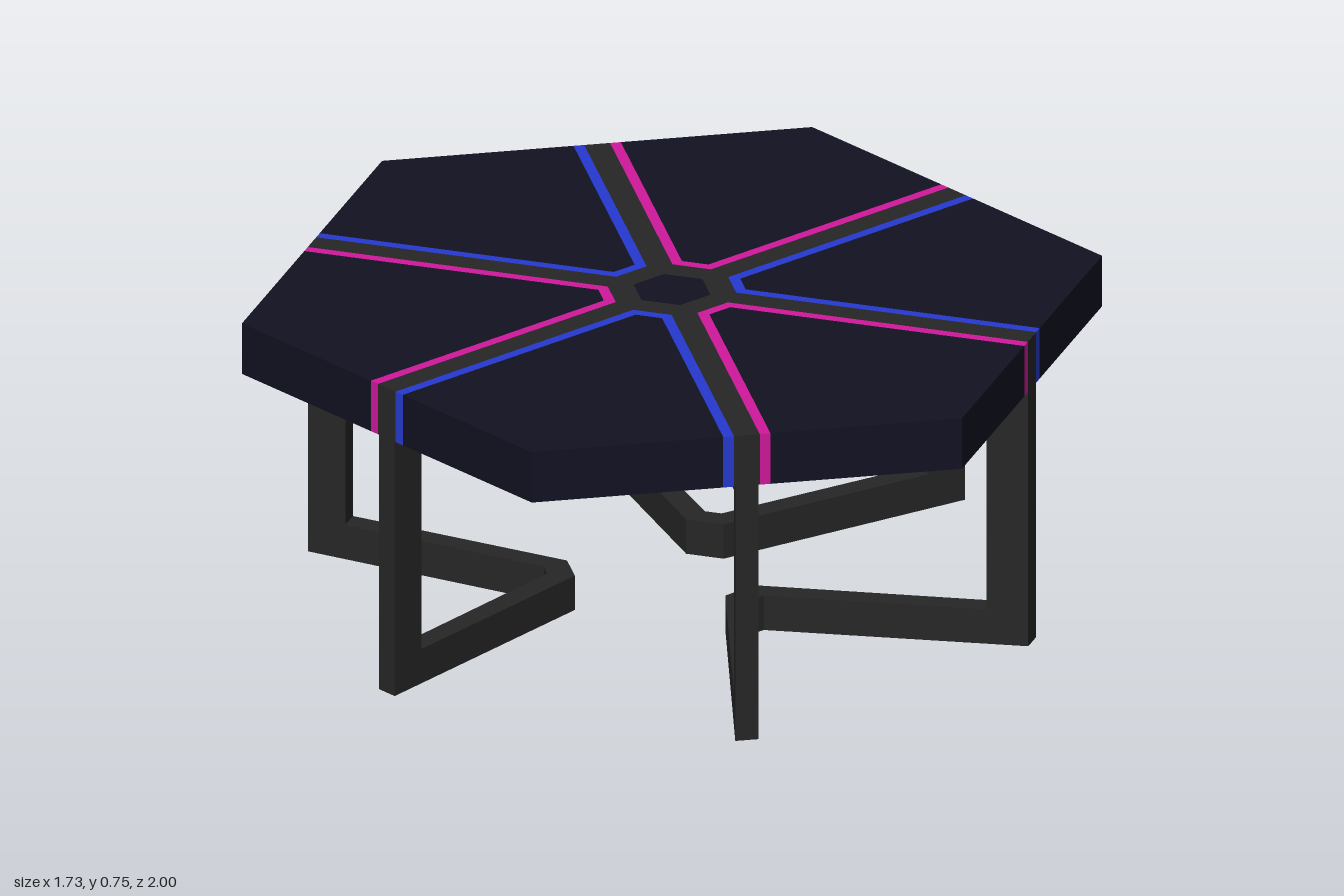
import * as THREE from 'three';

const APOTHEM = Math.sqrt(3) / 2; // table top radius to the edge midpoints
const TOP_Y = 0.755, UNDER_Y = 0.63, BASE_H = 0.085, BEAM_Y = 0.615;

const paint = (color) => new THREE.MeshStandardMaterial({ color });
const navy = paint(0x111122), metal = paint(0x262626);
const pink = paint(0xd0189c), blue = paint(0x263ad0);

// Turns a plan point (outward, sideways) about the table's centre; 90 degrees is the back.
function turn([r, t], deg) {
  const a = THREE.MathUtils.degToRad(deg), c = Math.cos(a), s = Math.sin(a);
  return new THREE.Vector2(r * c - t * s, r * s + t * c);
}

// Extrudes a plan outline upwards between two heights.
function slab(name, material, points, y0, y1, hole) {
  const shape = new THREE.Shape(points);
  if (hole) shape.holes.push(new THREE.Path(hole));
  const geo = new THREE.ExtrudeGeometry(shape, { depth: y1 - y0, bevelEnabled: false });
  geo.rotateX(-Math.PI / 2).translate(0, y0, 0);
  const mesh = new THREE.Mesh(geo, material);
  mesh.name = name;
  return mesh;
}

// Edge of a wedge-shaped panel: gap d from the radial seams, inner end at distance a.
const rimPoint = (d) => [0.75 + d * 0.5, APOTHEM / 2 - d * APOTHEM];
const innerPoint = (a, d) => [a, a / Math.sqrt(3) - d / APOTHEM];
const flip = ([r, t]) => [r, -t];

function createTop() {
  const top = new THREE.Group();
  top.name = 'tableTop';
  const seam = 0.03, trim = 0.055, hubA = 0.14, panelA = 0.165;
  const rim0 = rimPoint(seam), in0 = innerPoint(hubA, seam);
  const rim1 = rimPoint(trim), in1 = innerPoint(panelA, trim);
  const starPoints = [], hexPoints = [];

  for (let k = 0; k < 6; k++) {
    const deg = 90 + 60 * k;
    const place = (pts) => pts.map((p) => turn(p, deg));
    // navy panel
    top.add(slab('panel', navy, place([in1, rim1, [1, 0], flip(rim1), flip(in1)]), UNDER_Y, TOP_Y));
    // coloured trim round the panel's inner sides
    top.add(slab('trim', k % 2 ? blue : pink,
      place([in0, rim0, rim1, in1, flip(in1), flip(rim1), flip(rim0), flip(in0)]), UNDER_Y, TOP_Y));
    starPoints.push(...place([flip(rim0), flip(in0), in0, rim0]));
    hexPoints.push(turn([0.08 / APOTHEM, 0], deg + 30));
  }
  // six-armed dark inlay with a navy centre
  top.add(slab('starInlay', metal, starPoints, UNDER_Y, TOP_Y, hexPoints));
  top.add(slab('centreHexagon', navy, hexPoints, UNDER_Y, TOP_Y));
  return top;
}

// One V-shaped base bar carrying two uprights.
function createLegPair(deg) {
  const pair = new THREE.Group();
  pair.name = 'legPair';
  const place = (pts) => pts.map((p) => turn(p, deg));
  const half = 0.027;
  const onEdge = (d) => [APOTHEM * APOTHEM - d * 0.5, APOTHEM / 2 + d * APOTHEM];
  const outA = onEdge(half), outB = onEdge(-half);
  const bendA = [0.235, 0.045], bendB = [0.294, 0.02];

  pair.add(slab('baseBar', metal,
    place([outA, bendA, flip(bendA), flip(outA), flip(outB), flip(bendB), bendB, outB]), 0, BASE_H));

  // uprights follow the direction of the base arms
  const inward = (from, to) => {
    const len = Math.hypot(to[0] - from[0], to[1] - from[1]);
    return from.map((v, i) => v + (to[i] - v) * 0.096 / len);
  };
  const post = [outA, inward(outA, bendA), inward(outB, bendB), outB];
  pair.add(slab('upright', metal, place(post), BASE_H, UNDER_Y));
  pair.add(slab('upright', metal, place(post.map(flip)), BASE_H, UNDER_Y));
  return pair;
}

export function createModel() {
  const model = new THREE.Group();
  model.name = 'hexagonalTable';
  model.add(createTop());
  for (const deg of [90, 210, 330]) model.add(createLegPair(deg));

  // thin beams crossing under the top, joining opposite legs
  for (let i = 0; i < 3; i++) {
    const beam = new THREE.Mesh(
      new THREE.BoxGeometry(2 * APOTHEM - 0.02, UNDER_Y - BEAM_Y, 0.054), metal);
    beam.name = 'underBeam';
    beam.position.y = (UNDER_Y + BEAM_Y) / 2;
    beam.rotation.y = i * Math.PI / 3;
    model.add(beam);
  }
  return model;
}
